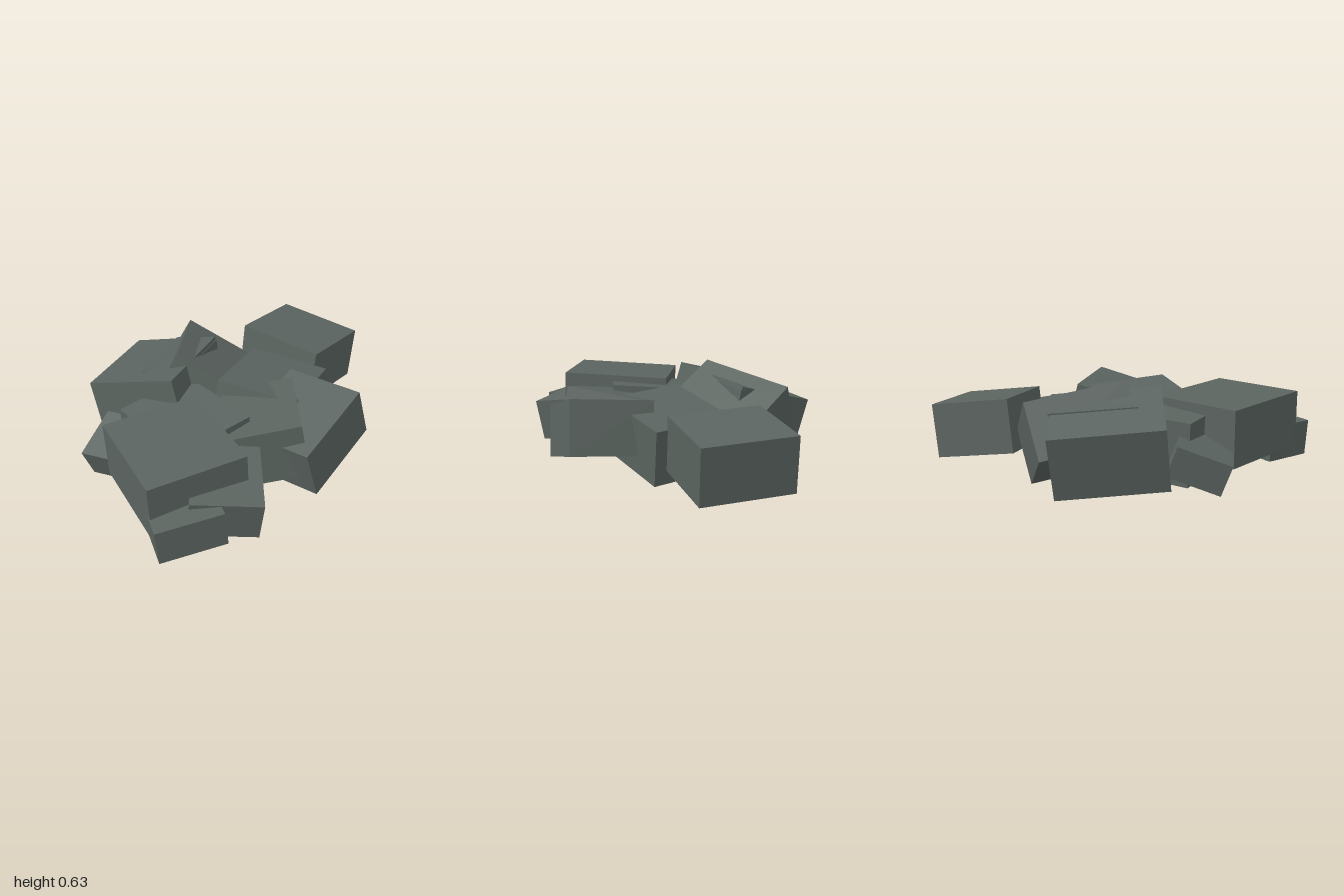
import * as THREE from 'three';

const V = (a) => new THREE.Vector3(...a);

export function createModel() {
  const group = new THREE.Group();
  const stone = new THREE.MeshStandardMaterial({ color: 0x5b6460 });
  stone.name = 'slateGrey';

  // A block hangs below its top face: face centre, width edge, depth edge, height
  function block(name, top, width, depth, height) {
    const u = V(width), v = V(depth);
    const w = u.length(), d = v.length();
    u.normalize();
    const n = v.clone().cross(u).normalize();
    const f = u.clone().cross(n);
    const mesh = new THREE.Mesh(new THREE.BoxGeometry(w, height, d), stone);
    mesh.name = name;
    mesh.quaternion.setFromRotationMatrix(new THREE.Matrix4().makeBasis(u, n, f));
    mesh.position.copy(V(top)).addScaledVector(n, -height / 2);
    group.add(mesh);
  }

  // Outer rubble blocks
  block('rightBlock', [0.705, 0.46, -0.212], [0.45, -0.055, -0.11], [0.13, -0.015, 0.51], 0.312);
  block('backBlock', [-0.245, 0.497, -0.452], [0.53, -0.055, -0.285], [0.25, 0.14, 0.45], 0.356);
  block('tippedBlock', [0.10, 0.4625, -0.255], [0.40, -0.095, -0.40], [0.28, -0.24, 0.35], 0.334);
  block('largeLeftBlock', [-0.63, 0.515, 0.26], [0.53, 0.015, 0.12], [-0.135, 0.025, 0.605], 0.32);
  block('frontBlock', [0.095, 0.46, 0.429], [0.49, 0.135, -0.113], [0.08, 0.035, 0.455], 0.303);
  block('frontLeftBlock', [-0.507, 0.40, 0.54], [0.24, 0.065, -0.32], [0.305, -0.035, 0.22], 0.245);
  block('smallFrontLeftBlock', [-0.78, 0.35, 0.525], [0.335, 0.03, 0.13], [-0.11, 0, 0.29], 0.205);
  block('smallBackLeftBlock', [-0.685, 0.315, -0.145], [0.26, 0.10, -0.12], [0.15, 0.06, 0.35], 0.18);

  // Blocks packed into the middle of the heap
  block('middleFrontBlock', [-0.065, 0.475, 0.288], [0.30, -0.03, -0.405], [0.31, 0.08, 0.26], 0.32);
  block('middleRightBlock', [0.235, 0.456, 0.065], [0.47, -0.087, -0.235], [0.20, -0.025, 0.425], 0.315);
  block('middleLeftBlock', [-0.407, 0.465, 0.05], [0.465, 0.03, 0.01], [-0.01, 0.04, 0.57], 0.36);
  block('middleBackBlock', [-0.12, 0.52, -0.365], [0.42, -0.04, -0.22], [0.12, 0.04, 0.23], 0.3);

  return group;
}
